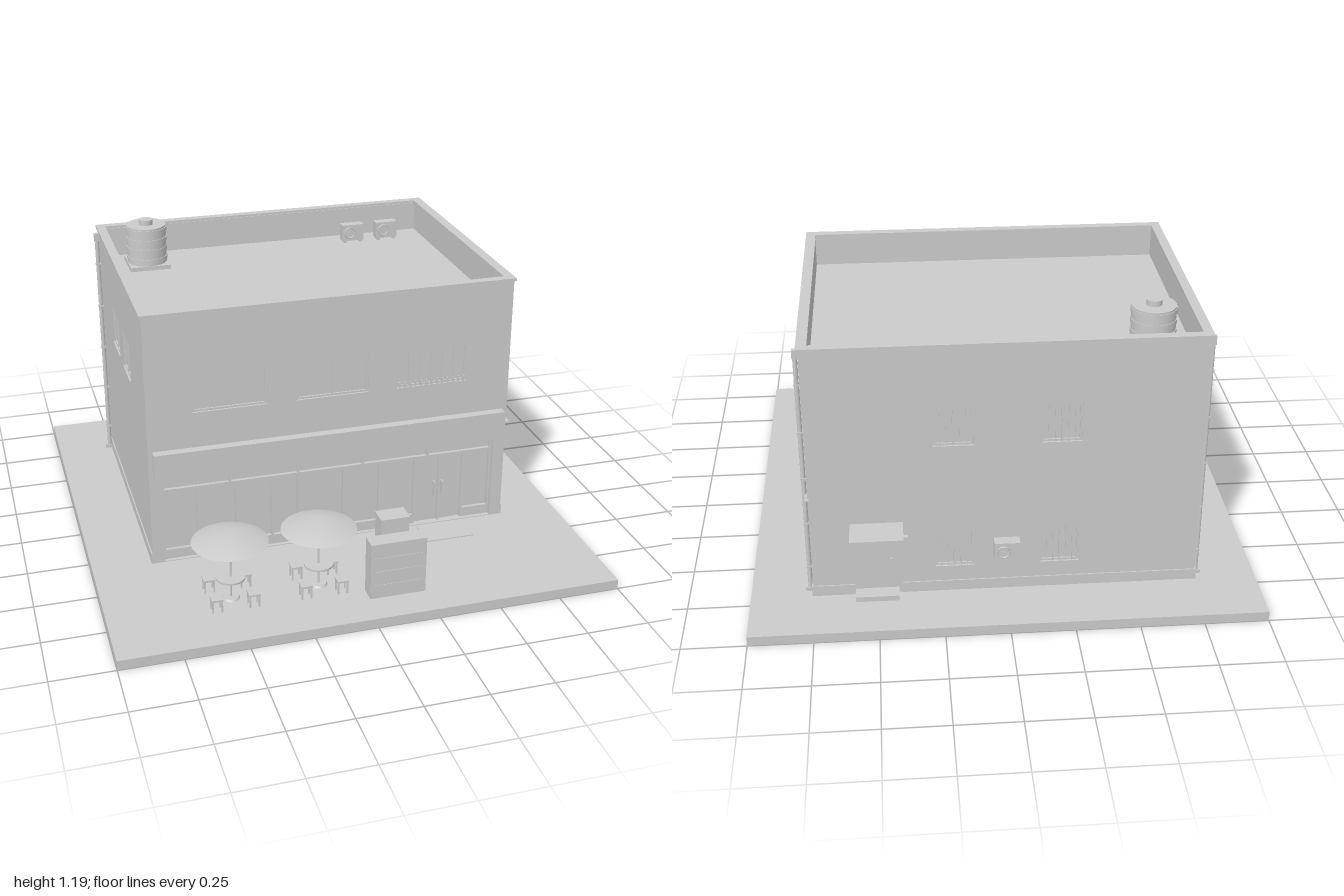
import * as THREE from 'three';
import { mergeVertices } from 'three/addons/utils/BufferGeometryUtils.js';

export function createModel() {
  const grey = new THREE.MeshStandardMaterial({ color: 0xcacaca, side: THREE.DoubleSide });
  grey.name = 'plain grey';
  const root = new THREE.Group();

  const add = (parent, name, geo, x, y, z) => {
    const m = new THREE.Mesh(geo, grey);
    m.name = name;
    m.position.set(x, y, z);
    parent.add(m);
    return m;
  };
  // box given by its min and max on each axis
  const box = (parent, name, x0, x1, y0, y1, z0, z1) =>
    add(parent, name, new THREE.BoxGeometry(x1 - x0, y1 - y0, z1 - z0),
      (x0 + x1) / 2, (y0 + y1) / 2, (z0 + z1) / 2);
  const cyl = (parent, name, rTop, rBottom, y0, y1, x, z, sides = 32) =>
    add(parent, name, new THREE.CylinderGeometry(rTop, rBottom, y1 - y0, sides), x, (y0 + y1) / 2, z);
  const group = (parent, name, x = 0, y = 0, z = 0) => {
    const g = new THREE.Group();
    g.name = name;
    g.position.set(x, y, z);
    parent.add(g);
    return g;
  };
  const corners = (a, b, c, d) => [[a, c], [b, c], [b, d], [a, d]].map(p => new THREE.Vector2(...p));

  // ground level, wall top, wall thickness, wall faces and roof level
  const G = 0.04, TOP = 1.108, T = 0.03, X = 0.755, ZF = 0.377, ZB = -0.754, ROOF = 0.981;

  // wall with openings; outer face at local z = 0
  function wall(name, width, openings, x, z, turn) {
    const g = group(root, name, x, 0, z);
    g.rotation.y = turn;
    const s = new THREE.Shape(corners(-width / 2, width / 2, G, TOP));
    for (const o of openings) s.holes.push(new THREE.Path(corners(...o)));
    add(g, name + 'Panel', new THREE.ExtrudeGeometry(s, { depth: T, bevelEnabled: false }), 0, 0, -T);
    return g;
  }

  // shallow window: glass, frame, mullions and sill
  function windowUnit(g, [a, b, c, d], panes) {
    const w = group(g, 'window');
    const f = 0.008;
    box(w, 'glass', a, b, c, d, -0.024, -0.01);
    box(w, 'frameTop', a, b, d - f, d, -0.01, -0.003);
    box(w, 'frameBottom', a, b, c, c + f, -0.01, -0.003);
    for (let i = 0; i <= panes; i++) {
      const x = a + f / 2 + (b - a - f) * i / panes;
      box(w, 'mullion', x - f / 2, x + f / 2, c + f, d - f, -0.01, -0.003);
    }
    box(w, 'sill', a - 0.002, b + 0.002, c - 0.006, c, -0.01, 0.005);
  }

  // ground slab
  box(root, 'groundSlab', -1, 1, 0, G, -1, 1);

  // front wall
  const upper = [[-0.57, -0.27, 0.695, 0.858], [-0.15, 0.147, 0.695, 0.858], [0.27, 0.565, 0.695, 0.858]];
  const front = wall('frontWall', 2 * X, [...upper, [-0.705, 0.705, G + 0.003, 0.42]], 0, ZF, 0);
  [1, 2, 6].forEach((n, i) => windowUnit(front, upper[i], n));
  for (let i = 0; i < 13; i++) {
    const x = 0.28 + i * 0.0229;
    box(front, 'railPost', x - 0.003, x + 0.003, 0.695, 0.718, -0.003, 0.005);
  }

  // shopfront glazing, transom and doors
  const shop = group(front, 'shopfront', 0, 0, -T);
  box(shop, 'shopGlass', -0.72, 0.72, G, 0.43, -0.01, -0.001);
  box(shop, 'shopLintel', -0.71, 0.71, 0.403, 0.42, 0, T + 0.004);
  box(shop, 'transomRail', -0.705, 0.705, 0.35, 0.36, 0, 0.014);
  box(shop, 'shopPlinth', -0.705, 0.365, G, 0.085, 0, 0.014);
  box(shop, 'shopPlinthEnd', 0.58, 0.705, G, 0.085, 0, 0.014);
  for (const x of [-0.7, -0.425, -0.14, 0.135, 0.42, 0.7])
    box(shop, 'transomMullion', x - 0.005, x + 0.005, 0.36, 0.403, 0, 0.014);
  for (const x of [-0.7, -0.56, -0.4, -0.25, -0.14, 0.055, 0.21, 0.365, 0.475, 0.58, 0.7])
    box(shop, 'shopMullion', x - 0.005, x + 0.005, G, 0.35, 0, 0.014);
  for (const x of [0.455, 0.49])
    box(shop, 'doorHandle', x - 0.003, x + 0.003, 0.16, 0.23, 0, 0.022);

  // blank sign fascia
  box(root, 'signFascia', -0.738, 0.735, 0.424, 0.543, 0.37, 0.414);

  // back wall, seen from behind so local x is mirrored
  const backWins = [];
  for (const x of [-0.2, 0.21])
    for (const y of [0.155, 0.695]) backWins.push([x - 0.075, x + 0.075, y, y + 0.16]);
  const door = [-0.58, -0.42, G + 0.02, 0.32];
  const back = wall('backWall', 2 * X, [...backWins, door], 0, ZB, Math.PI);
  for (const w of backWins) {
    windowUnit(back, w, 2);
    for (let i = 1; i < 6; i++) {
      const x = w[0] + (w[1] - w[0]) * i / 6;
      box(back, 'windowBar', x - 0.002, x + 0.002, w[2], w[3], -0.004, 0.001);
    }
  }
  box(back, 'backDoor', door[0], door[1], G, door[3], -0.024, -0.004);
  box(back, 'doorHandle', -0.45, -0.442, 0.15, 0.2, -0.004, 0.006);
  box(back, 'doorCanopy', -0.602, -0.398, 0.346, 0.364, 0, 0.126);
  box(back, 'doorStep', -0.59, -0.42, G, 0.062, 0, 0.058);
  box(back, 'wallLamp', -0.4, -0.38, 0.275, 0.305, 0, 0.018);

  // side walls
  const sideWins = [[-0.22, -0.055, 0.7, 0.86], [0.05, 0.215, 0.7, 0.86]];
  for (const s of [-1, 1]) {
    const side = wall(s > 0 ? 'leftWall' : 'rightWall', ZF - ZB, sideWins, s * X, (ZF + ZB) / 2, s * Math.PI / 2);
    sideWins.forEach(w => windowUnit(side, w, 2));
    // rain pipe with hopper, clips and foot
    const pipe = group(root, 'rainPipe', s * 0.768, 0, -0.712);
    cyl(pipe, 'pipe', 0.009, 0.009, G, 1.07, 0, 0, 12);
    box(pipe, 'hopper', -0.011, 0.011, 1.06, 1.095, -0.01, 0.01);
    for (const y of [0.15, 0.35, 0.55, 0.75, 0.95]) box(pipe, 'clip', -0.011, 0.011, y, y + 0.006, -0.011, 0.011);
    box(pipe, 'foot', -0.018, 0.018, G, 0.056, -0.011, 0.011);
    box(root, 'sidePlinth', s * X - 0.005, s * X + 0.005, G, 0.085, ZB - 0.005, ZF);
  }
  box(root, 'backPlinthA', 0.59, X, G, 0.085, ZB - 0.005, ZB + 0.005);
  box(root, 'backPlinthB', -X, 0.41, G, 0.085, ZB - 0.005, ZB + 0.005);

  // utility cable, conduit and meter on one side
  box(root, 'utilityCable', 0.75, 0.766, 0.482, 0.486, -0.768, 0.39);
  cyl(root, 'conduit', 0.005, 0.005, G, 0.485, 0.762, -0.6, 8);
  box(root, 'meterBox', 0.75, 0.776, 0.165, 0.226, -0.632, -0.572);

  // roof deck and parapet cap
  box(root, 'roofDeck', -0.74, 0.74, ROOF - 0.03, ROOF, -0.74, 0.36);
  const cap = new THREE.Shape(corners(-0.763, 0.763, -0.382, 0.763));
  cap.holes.push(new THREE.Path(corners(-0.725, 0.722, -0.345, 0.727)));
  add(root, 'parapetCap', new THREE.ExtrudeGeometry(cap, { depth: 0.012, bevelEnabled: false }), 0, 1.106, 0)
    .rotation.x = -Math.PI / 2;

  // water tank with ribs
  const tank = group(root, 'waterTank', -0.568, 0, -0.572);
  box(tank, 'tankPad', -0.088, 0.088, ROOF, 0.999, -0.088, 0.088);
  cyl(tank, 'tankBody', 0.085, 0.085, 0.999, 1.165, 0, 0);
  for (const y of [1.01, 1.053, 1.096, 1.139]) cyl(tank, 'tankRib', 0.088, 0.088, y, y + 0.018, 0, 0);
  cyl(tank, 'tankLid', 0.03, 0.03, 1.165, 1.187, 0, 0);

  // air conditioners: body, fan ring and feet
  function airUnit(x, y, z, height, depth, turn) {
    const g = group(root, 'airConditioner', x, y, z);
    g.rotation.y = turn;
    box(g, 'body', -0.05, 0.05, 0, height, -depth / 2, depth / 2);
    add(g, 'fanRing', new THREE.TorusGeometry(0.024, 0.003, 8, 24), -0.015, height / 2, depth / 2);
    add(g, 'fanHub', new THREE.CylinderGeometry(0.008, 0.008, 0.006, 12), -0.015, height / 2, depth / 2)
      .rotation.x = Math.PI / 2;
    for (const s of [-1, 1])
      box(g, 'foot', s * 0.036 - 0.006, s * 0.036 + 0.006, -0.01, 0, -depth / 2, depth / 2);
  }
  airUnit(0.39, ROOF + 0.009, -0.63, 0.074, 0.042, 0);
  airUnit(0.55, ROOF + 0.009, -0.63, 0.074, 0.042, 0);
  airUnit(0, 0.21, -0.8, 0.08, 0.045, Math.PI);
  for (const x of [-0.036, 0.036]) box(root, 'unitBracket', x - 0.005, x + 0.005, 0.194, 0.202, -0.822, -0.75);

  // smooth parasol canopy, open underneath
  let canopy = new THREE.ConeGeometry(0.149, 0.051, 40, 1, true);
  canopy.deleteAttribute('normal').deleteAttribute('uv');
  canopy = mergeVertices(canopy);
  canopy.computeVertexNormals();

  // parasol tables with four stools each
  for (const x of [-0.507, -0.153]) {
    const set = group(root, 'parasolTable', x, 0, 0.704);
    add(set, 'parasol', canopy, 0, 0.318, 0);
    cyl(set, 'pole', 0.004, 0.004, G, 0.335, 0, 0, 12);
    cyl(set, 'tableTop', 0.058, 0.058, 0.13, 0.138, 0, 0);
    cyl(set, 'tableFoot', 0.03, 0.035, G, 0.048, 0, 0, 24);
    for (const sx of [-1, 1]) for (const sz of [-1, 1]) {
      const stool = group(set, 'stool', sx * 0.073, 0, sz * 0.073);
      box(stool, 'seat', -0.023, 0.023, 0.09, 0.098, -0.023, 0.023);
      for (const a of [-0.018, 0.018]) for (const b of [-0.018, 0.018])
        box(stool, 'leg', a - 0.003, a + 0.003, G, 0.09, b - 0.003, b + 0.003);
    }
  }

  // display cabinet, chest freezer and door mat
  box(root, 'displayCabinet', 0.01, 0.236, G, 0.28, 0.796, 0.864);
  for (const y of [0.095, 0.155, 0.215])
    box(root, 'cabinetShelfEdge', 0.025, 0.221, y, y + 0.004, 0.862, 0.866);
  box(root, 'chestFreezer', 0.177, 0.298, G, 0.15, 0.415, 0.495);
  box(root, 'freezerLid', 0.175, 0.3, 0.15, 0.16, 0.413, 0.497);
  box(root, 'doorMat', 0.37, 0.58, G, 0.044, 0.39, 0.52);

  return root;
}
